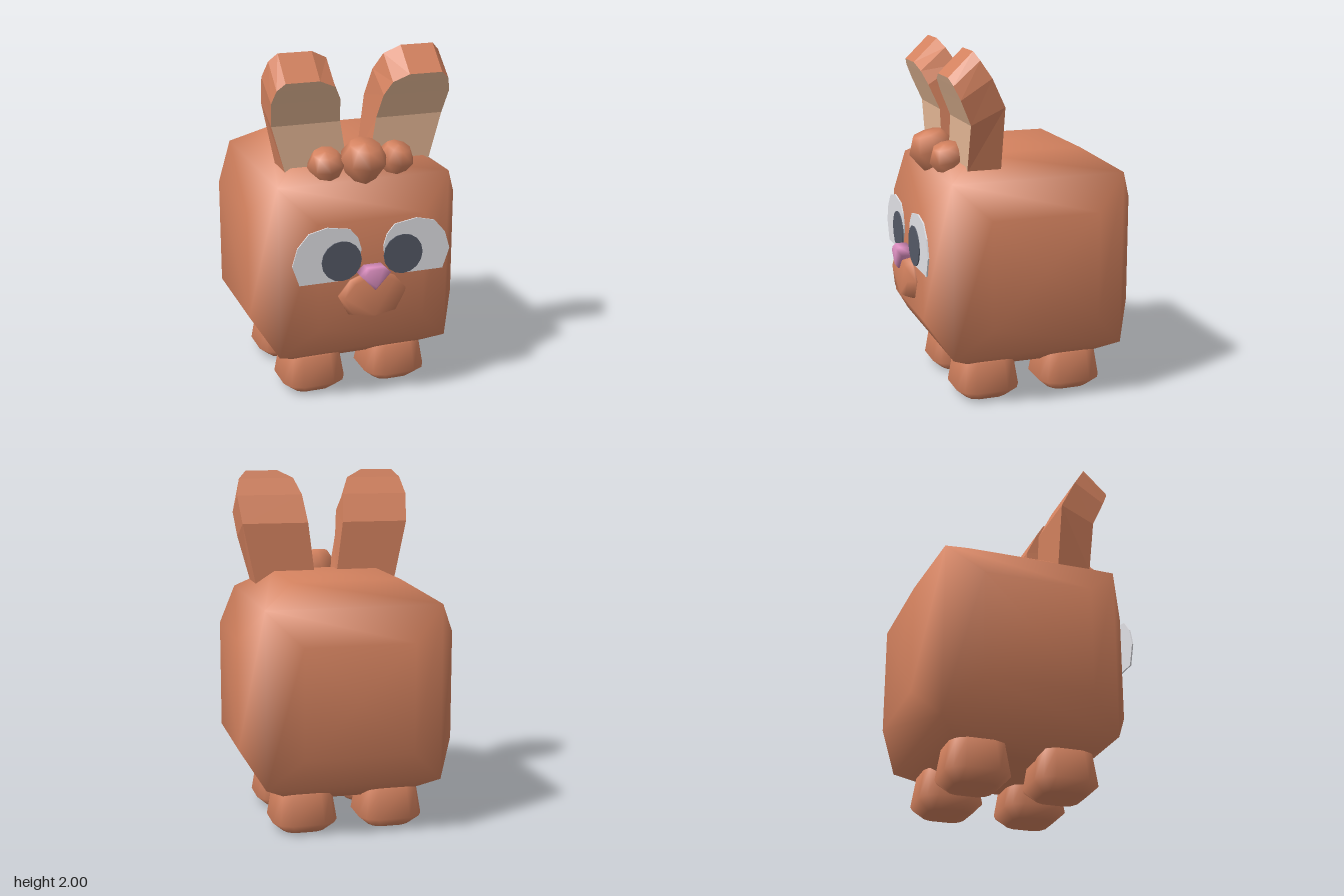
import * as THREE from 'three';
import { mergeGeometries, mergeVertices } from 'three/addons/utils/BufferGeometryUtils.js';

const mat = (name, color, side = THREE.FrontSide) => {
  const m = new THREE.MeshStandardMaterial({ color, side });
  m.name = name;
  return m;
};

const buildGeometry = (positions, index) => {
  const g = new THREE.BufferGeometry();
  g.setAttribute('position', new THREE.Float32BufferAttribute(positions, 3));
  if (index) g.setIndex(index);
  g.computeVertexNormals();
  return g;
};

// Joins counter-clockwise rings [{ z, pts }] along +z and closes both ends.
function loft(rings) {
  const n = rings[0].pts.length, pos = [], idx = [];
  rings.forEach(({ z, pts }) => pts.forEach(([x, y]) => pos.push(x, y, z)));
  for (let r = 0; r < rings.length - 1; r++) {
    for (let i = 0; i < n; i++) {
      const a = r * n + i, b = r * n + (i + 1) % n;
      idx.push(a, b, b + n, a, b + n, a + n);
    }
  }
  const last = (rings.length - 1) * n;
  for (let i = 1; i < n - 1; i++) {
    idx.push(0, i + 1, i, last, last + i, last + i + 1);
  }
  return buildGeometry(pos, idx);
}

// Scales an outline about a centre point.
const scaled = (pts, k, cx, cy) => pts.map(([x, y]) => [cx + (x - cx) * k, cy + (y - cy) * k]);

// Cube whose six faces each bulge out to a smaller square.
function puffedCube(corner, inset, reach) {
  const faces = [];
  const profile = [[corner * Math.SQRT2, corner], [inset * Math.SQRT2, reach], [0, reach]]
    .map(([x, y]) => new THREE.Vector2(x, y));
  for (let i = 0; i < 6; i++) {
    const g = new THREE.LatheGeometry(profile, 4).rotateY(Math.PI / 4);
    if (i < 4) g.rotateX(i * Math.PI / 2);
    else g.rotateZ(i === 4 ? Math.PI / 2 : -Math.PI / 2);
    g.deleteAttribute('normal');
    g.deleteAttribute('uv');
    faces.push(g);
  }
  const cube = mergeVertices(mergeGeometries(faces), 1e-3);
  cube.computeVertexNormals();
  return cube;
}

// Square ring with bulging sides, used for the paws.
function pawRing(w, c) {
  const pts = [];
  for (let q = 0; q < 4; q++) {
    const cs = Math.round(Math.cos(q * Math.PI / 2)), sn = Math.round(Math.sin(q * Math.PI / 2));
    [[w, -w / 2], [w, w / 2], [c, c]].forEach(([x, y]) => pts.push([x * cs - y * sn, x * sn + y * cs]));
  }
  return pts;
}

// Ear rows: inner x, outer x, front y, front z, back y, back z.
const EAR_ROWS = [
  [0.06, 0.42, 1.34, 0.35, 1.34, 0.157],
  [0.105, 0.495, 1.61, 0.35, 1.7, 0.157],
  [0.125, 0.512, 1.75, 0.41, 1.86, 0.235],
  [0.165, 0.49, 1.825, 0.443, 1.955, 0.295],
  [0.255, 0.445, 1.865, 0.46, 2.0, 0.32],
];

function makeEar(side, fur, inner) {
  const front = [], shell = [];
  const quad = (out, a, b, c, d) => {
    const q = side > 0 ? [a, b, c, a, c, d] : [a, c, b, a, d, c];
    q.forEach((p) => out.push(p[0] * side, p[1], p[2]));
  };
  const corners = EAR_ROWS.map(([xi, xo, fy, fz, by, bz]) => ({
    fi: [xi, fy, fz], fo: [xo, fy, fz], bi: [xi, by, bz], bo: [xo, by, bz],
  }));
  for (let i = 0; i < corners.length - 1; i++) {
    const p = corners[i], q = corners[i + 1];
    quad(front, p.fi, p.fo, q.fo, q.fi);
    quad(shell, p.bo, p.bi, q.bi, q.bo);
    quad(shell, p.fo, p.bo, q.bo, q.fo);
    quad(shell, p.bi, p.fi, q.fi, q.bi);
  }
  const top = corners[corners.length - 1], base = corners[0];
  quad(shell, top.fi, top.fo, top.bo, top.bi);
  quad(shell, base.bi, base.bo, base.fo, base.fi);
  const ear = new THREE.Group();
  const add = (name, pos, m) => {
    const mesh = new THREE.Mesh(buildGeometry(pos), m);
    mesh.name = name;
    ear.add(mesh);
  };
  add('earShell', shell, fur);
  add('innerEar', front, inner);
  return ear;
}

export function createModel() {
  const model = new THREE.Group();
  model.name = 'rabbit';
  const fur = mat('fur', 0xd4825f);
  const innerEar = mat('innerEar', 0xe3b694);
  const eyeWhite = mat('eyeWhite', 0xe4e4e9, THREE.DoubleSide);
  const pupilDark = mat('pupil', 0x555a67, THREE.DoubleSide);
  const pink = mat('nosePink', 0xe092c4);

  const add = (name, geometry, material, x = 0, y = 0, z = 0) => {
    const mesh = new THREE.Mesh(geometry, material);
    mesh.name = name;
    mesh.position.set(x, y, z);
    model.add(mesh);
    return mesh;
  };

  // Body
  add('body', puffedCube(0.5, 0.31, 0.62), fur, 0, 0.8, -0.04);

  // Paws
  const paw = loft([
    { z: 0, pts: pawRing(0.12, 0.1) },
    { z: 0.06, pts: pawRing(0.185, 0.155) },
    { z: 0.23, pts: pawRing(0.158, 0.135) },
    { z: 0.25, pts: pawRing(0.13, 0.11) },
  ]).rotateX(-Math.PI / 2);
  for (const s of [1, -1]) {
    add('frontPaw', paw, fur, s * 0.25, 0, 0.212);
    add('backPaw', paw, fur, s * 0.25, 0, -0.288);
  }

  // Muzzle and nose
  const muzzle = [[0, 0.545], [0.14, 0.57], [0.2, 0.685], [0.13, 0.77], [0.05, 0.8],
    [-0.05, 0.8], [-0.13, 0.77], [-0.2, 0.685], [-0.14, 0.57]];
  add('muzzle', loft([
    { z: 0.57, pts: muzzle },
    { z: 0.59, pts: muzzle },
    { z: 0.632, pts: scaled(muzzle, 0.88, 0, 0.67) },
  ]), fur);
  const nose = [[0, 0.715], [0.09, 0.81], [0.05, 0.85], [-0.05, 0.85], [-0.09, 0.81]];
  add('nose', loft([
    { z: 0.57, pts: nose },
    { z: 0.64, pts: nose },
    { z: 0.66, pts: scaled(nose, 0.75, 0, 0.81) },
  ]), pink);

  // Eyes: flat plates with round pupils
  const eye = [[0.07, 0.9], [0.12, 0.8], [0.2, 0.775], [0.42, 0.775], [0.46, 0.89], [0.43, 0.99],
    [0.365, 1.065], [0.26, 1.09], [0.13, 1.068], [0.085, 1.015], [0.065, 0.95]];
  const tuftProfile = [[0, -0.15], [0.075, -0.1], [0.135, 0.03], [0.085, 0.115], [0, 0.125]]
    .map(([x, y]) => new THREE.Vector2(x, y));
  const tuft = new THREE.LatheGeometry(tuftProfile, 8);
  for (const s of [1, -1]) {
    const outline = new THREE.Shape(eye.map(([x, y]) => new THREE.Vector2(x * s, y)));
    add('eye', new THREE.ExtrudeGeometry(outline, { depth: 0.008, bevelEnabled: false }), eyeWhite, 0, 0, 0.58);
    const disc = new THREE.CylinderGeometry(0.115, 0.115, 0.006, 16).rotateX(Math.PI / 2);
    add('pupil', disc, pupilDark, s * 0.18, 0.89, 0.591);

    // Ears and side tufts
    const ear = makeEar(s, fur, innerEar);
    ear.name = s > 0 ? 'leftEar' : 'rightEar';
    model.add(ear);
    const sideTuft = add('sideTuft', tuft, fur, s * 0.2, 1.37, 0.39);
    sideTuft.scale.setScalar(0.8);
    sideTuft.rotation.set(0.3, 0, -s * 0.15);
  }

  // Middle tuft
  add('middleTuft', tuft, fur, 0, 1.385, 0.425).rotation.x = 0.3;

  return model;
}
